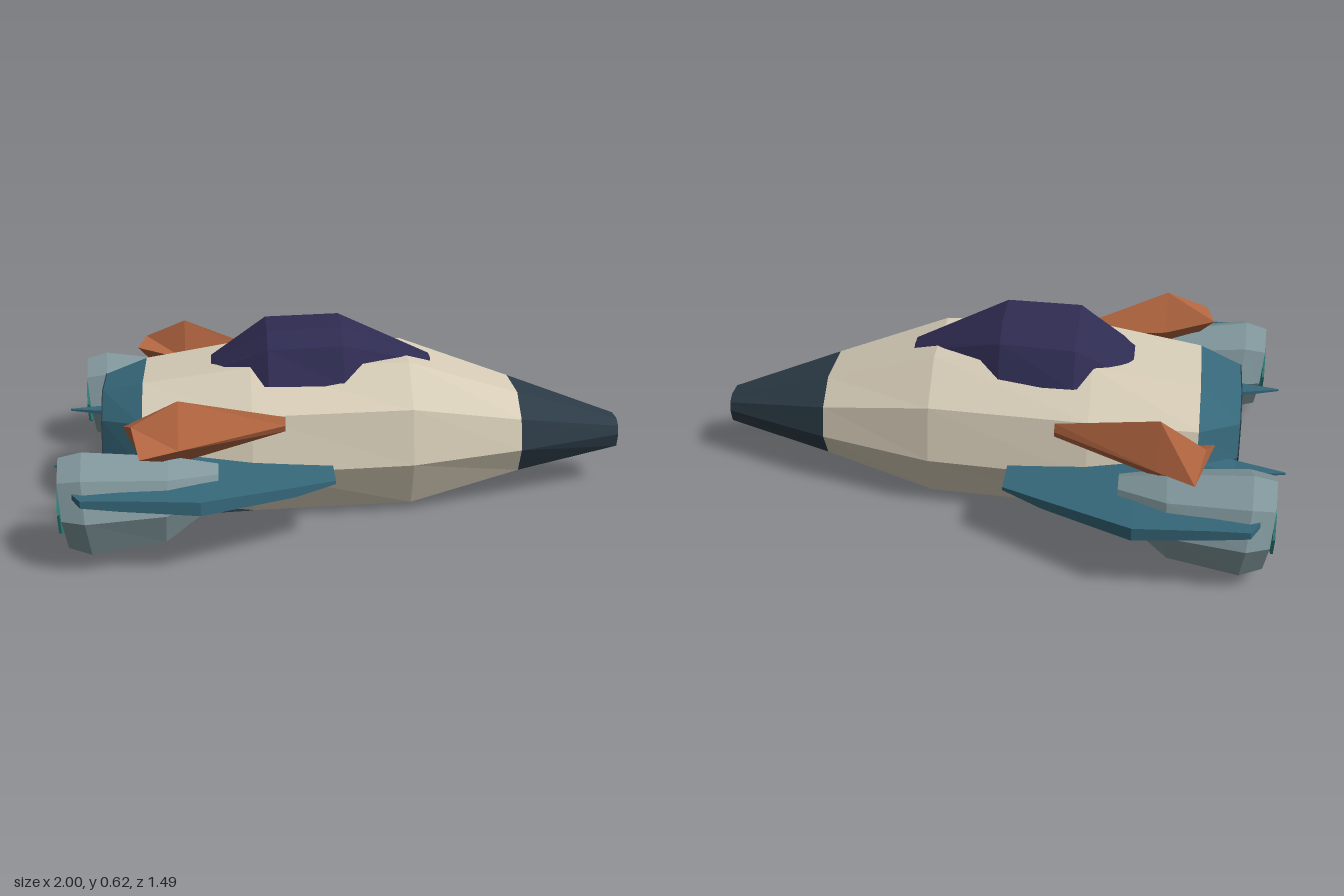
import * as THREE from 'three';

const mat = (name, color) => {
  const m = new THREE.MeshStandardMaterial({ color });
  m.name = name;
  return m;
};

// Skin over matching rings of [x, y, z] points, ordered by rising x.
// Each ring runs from the top towards +z. Faces share no vertices, so they stay flat.
function loft(rings, capStart = true, capEnd = true) {
  const pos = [];
  const tri = (a, b, c) => pos.push(...a, ...b, ...c);
  const n = rings[0].length;
  for (let j = 0; j < rings.length - 1; j++) {
    for (let i = 0; i < n; i++) {
      const k = (i + 1) % n;
      const a = rings[j][i], b = rings[j][k], c = rings[j + 1][k], d = rings[j + 1][i];
      tri(a, b, c);
      tri(a, c, d);
    }
  }
  const last = rings[rings.length - 1];
  for (let i = 1; i < n - 1; i++) {
    if (capStart) tri(rings[0][0], rings[0][i + 1], rings[0][i]);
    if (capEnd) tri(last[0], last[i], last[i + 1]);
  }
  const g = new THREE.BufferGeometry();
  g.setAttribute('position', new THREE.Float32BufferAttribute(pos, 3));
  g.computeVertexNormals();
  return g;
}

// Mirrors rings across the centre plane and keeps their winding.
const mirrored = (rings, s) =>
  s > 0 ? rings : rings.map(r => r.map(([x, y, z]) => [x, y, -z]).reverse());

// Eight-sided hull ring
function hullRing([x, w, bottom, mid, top]) {
  const shoulder = mid + (top - mid) * 0.6;
  const right = [[top, 0.46], [shoulder, 0.89], [mid, 1], [bottom, 0.76]];
  return [
    ...right.map(([y, f]) => [x, y, f * w]),
    ...right.slice().reverse().map(([y, f]) => [x, y, -f * w]),
  ];
}

// Six-sided canopy ring with its base sunk into the hull
function canopyRing([x, w, base, top]) {
  const right = [[top, 0.42], [base + (top - base) * 0.72, 0.76], [base, 1.04]];
  return [
    ...right.map(([y, f]) => [x, y, f * w]),
    ...right.slice().reverse().map(([y, f]) => [x, y, -f * w]),
  ];
}

// Eight-sided engine ring, leaning with height by tilt
function engineRing([x, cy, cz, r, tilt]) {
  return Array.from({ length: 8 }, (_, i) => {
    const a = (i * Math.PI) / 4;
    const dy = r * Math.cos(a);
    return [x - dy * tilt, cy + dy, cz + r * Math.sin(a)];
  });
}

// Flat four-cornered ring between two z values
const plateRing = ([x, z0, z1, y0, y1]) => [[x, y1, z0], [x, y1, z1], [x, y0, z1], [x, y0, z0]];

export function createModel() {
  const model = new THREE.Group();
  model.name = 'spaceship';

  const cream = mat('hull cream', 0xd6ccb7);
  const slate = mat('dark slate', 0x2c3b46);
  const teal = mat('wing teal', 0x36687a);
  const indigo = mat('canopy indigo', 0x2f2c52);
  const steel = mat('engine steel', 0x80969b);
  const rust = mat('fin rust', 0xb0643f);
  const glow = mat('thruster green', 0x2f8580);

  const add = (name, geometry, material, parent = model) => {
    const mesh = new THREE.Mesh(geometry, material);
    mesh.name = name;
    parent.add(mesh);
  };

  // Hull stations: x, half width, bottom, widest height, top
  const hull = [
    [-0.84, 0.215, 0.1, 0.22, 0.415],
    [-0.7, 0.33, 0.06, 0.2, 0.455],
    [-0.33, 0.375, 0.028, 0.197, 0.51],
    [0.22, 0.335, 0.028, 0.195, 0.508],
    [0.615, 0.22, 0.102, 0.195, 0.372],
    [1, 0.07, 0.14, 0.19, 0.24],
  ].map(hullRing);
  add('tailBand', loft(hull.slice(0, 2), false, false), teal);
  add('hullBody', loft(hull.slice(1, 5), false, false), cream);
  add('noseCone', loft(hull.slice(4), false, true), slate);
  add('tailPlate', loft([hull[0].map(([x, y, z]) => [x - 0.004, y, z]), hull[0]]), slate);

  // Canopy
  add('canopy', loft([
    [-0.5, 0.11, 0.43, 0.468],
    [-0.27, 0.235, 0.46, 0.615],
    [-0.01, 0.215, 0.45, 0.624],
    [0.31, 0.06, 0.43, 0.488],
  ].map(canopyRing)), indigo);

  for (const s of [1, -1]) {
    const side = new THREE.Group();
    side.name = s > 0 ? 'leftSide' : 'rightSide';
    model.add(side);
    const part = (name, rings, material) => add(name, loft(mirrored(rings, s)), material, side);

    // Wing, rising towards the rear
    part('wing', [
      [-0.9, 0.58, 0.69, 0.252, 0.27],
      [-0.87, 0.5, 0.745, 0.245, 0.268],
      [-0.75, 0.36, 0.744, 0.23, 0.265],
      [-0.5, 0.3, 0.74, 0.205, 0.25],
      [-0.2, 0.3, 0.57, 0.188, 0.222],
      [-0.06, 0.3, 0.49, 0.198, 0.21],
    ].map(plateRing), teal);

    // Spike behind the wing root
    part('wingSpike', [
      [-1, 0.292, 0.297, 0.212, 0.218],
      [-0.83, 0.24, 0.325, 0.205, 0.222],
      [-0.7, 0.2, 0.39, 0.2, 0.24],
    ].map(plateRing), teal);

    // Engine pod and thruster disc
    part('engine', [
      [-0.935, 0.185, 0.548, 0.155, 0.12],
      [-0.86, 0.183, 0.555, 0.176, 0.1],
      [-0.61, 0.18, 0.53, 0.148, -0.05],
      [-0.445, 0.215, 0.49, 0.068, 0],
    ].map(engineRing), steel);
    part('thruster', [
      [-0.954, 0.185, 0.548, 0.105, 0],
      [-0.946, 0.185, 0.548, 0.105, 0],
    ].map(engineRing), glow);

    // Upper fin: top, outer, bottom and inner corners
    part('upperFin', [
      [[-0.72, 0.43, 0.53], [-0.69, 0.357, 0.64], [-0.69, 0.315, 0.53], [-0.75, 0.405, 0.455]],
      [[-0.57, 0.5, 0.49], [-0.57, 0.36, 0.575], [-0.57, 0.29, 0.49], [-0.57, 0.365, 0.42]],
      [[-0.22, 0.392, 0.362], [-0.22, 0.365, 0.373], [-0.22, 0.342, 0.362], [-0.22, 0.365, 0.35]],
    ], rust);

    // Belly skid, slanting out and down to the rear
    part('skid', [
      [[-0.56, 0.016, 0.23], [-0.56, 0.012, 0.242], [-0.56, 0, 0.242], [-0.56, 0.003, 0.23]],
      [[-0.34, 0.035, 0.18], [-0.34, 0.016, 0.235], [-0.34, 0.005, 0.235], [-0.34, 0.02, 0.18]],
      [[-0.12, 0.032, 0.19], [-0.12, 0.03, 0.2], [-0.12, 0.022, 0.2], [-0.12, 0.024, 0.19]],
    ], slate);
  }
  return model;
}
